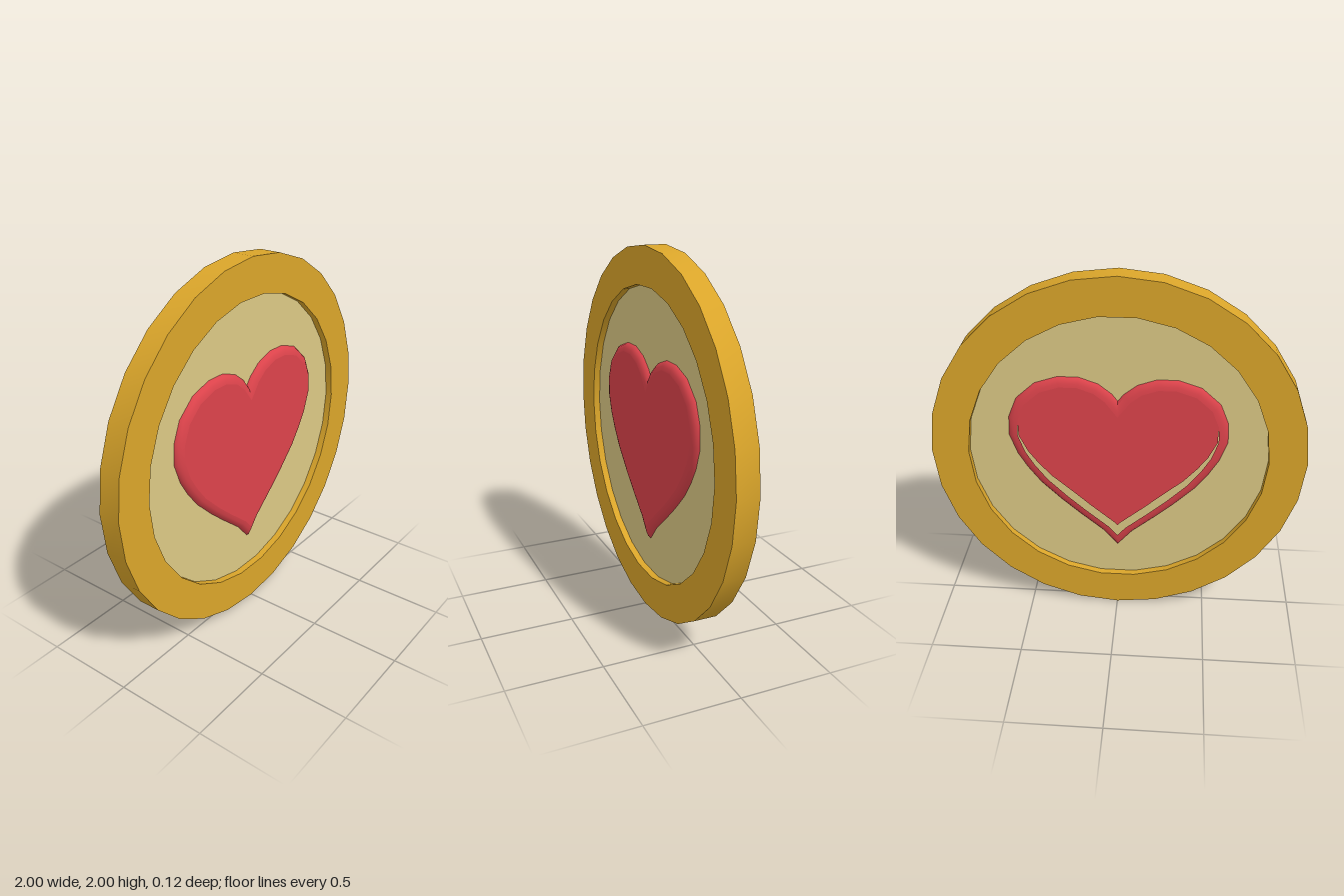
import * as THREE from 'three';
import { toCreasedNormals } from 'three/addons/utils/BufferGeometryUtils.js';

const V = (x, y) => new THREE.Vector2(x, y);

// Regular polygon with a corner on +x
const polygon = (r, n) =>
  Array.from({ length: n }, (_, i) => {
    const a = (i / n) * Math.PI * 2;
    return V(r * Math.cos(a), r * Math.sin(a));
  });

// Polygon plate centred on z = 0
function plate(shape, depth) {
  const g = new THREE.ExtrudeGeometry(shape, { depth, bevelEnabled: false });
  g.translate(0, 0, -depth / 2);
  return toCreasedNormals(g, 0.6);
}

// Heart outline, counter-clockwise from the tip, mirrored across x = 0
function heartOutline() {
  const half = [
    [0.08, 0.495], [0.21, 0.605], [0.31, 0.695], [0.42, 0.805], [0.49, 0.9], [0.54, 0.985],
    [0.58, 1.1], [0.575, 1.21], [0.53, 1.32], [0.43, 1.41], [0.31, 1.45],
    [0.2, 1.45], [0.1, 1.415], [0.03, 1.36],
  ];
  const left = half.map(([x, y]) => V(-x, y)).reverse();
  return [V(0, 0.4), ...half.map(([x, y]) => V(x, y)), V(0, 1.32), ...left];
}

// Move every side inward by dist(point), with mitred corners
function inset(points, dist) {
  const n = points.length;
  const normal = (a, b) => V(a.y - b.y, b.x - a.x).normalize();
  return points.map((p, i) => {
    const n1 = normal(points[(i + n - 1) % n], p);
    const n2 = normal(p, points[(i + 1) % n]);
    const k = dist(p) / (1 + n1.dot(n2));
    return p.clone().addScaledVector(n1.add(n2), k);
  });
}

// Skin between successive closed loops of equal length
function loft(loops) {
  const n = loops[0].pts.length;
  const pos = [], idx = [];
  loops.forEach(({ pts, z }) => pts.forEach((p) => pos.push(p.x, p.y, z)));
  for (let r = 0; r < loops.length - 1; r++) {
    for (let i = 0; i < n; i++) {
      const a = r * n + i, b = r * n + ((i + 1) % n);
      idx.push(a, b, b + n, a, b + n, a + n);
    }
  }
  const g = new THREE.BufferGeometry();
  g.setAttribute('position', new THREE.Float32BufferAttribute(pos, 3));
  g.setIndex(idx);
  return toCreasedNormals(g, 0.9);
}

export function createModel() {
  const group = new THREE.Group();
  const gold = new THREE.MeshStandardMaterial({ color: 0xdaa52a });
  const tan = new THREE.MeshStandardMaterial({ color: 0xdbc884 });
  const red = new THREE.MeshStandardMaterial({ color: 0xdc434b, side: THREE.DoubleSide });
  const add = (name, geometry, material, parent = group) => {
    const mesh = new THREE.Mesh(geometry, material);
    mesh.name = name;
    parent.add(mesh);
    return mesh;
  };

  // Coin rim and recessed inner disc
  const rim = new THREE.Shape(polygon(1, 28));
  rim.holes.push(new THREE.Path(polygon(0.8, 26)));
  add('rim', plate(rim, 0.12), gold).position.y = 1;
  add('disc', plate(new THREE.Shape(polygon(0.8, 26)), 0.045), tan).position.y = 1;

  // Heart: rounded border running from the back edge to the front edge
  const heart = new THREE.Group();
  heart.name = 'heart';
  group.add(heart);
  const outline = heartOutline();
  const profile = [
    [0.05, -0.048], [0.03, -0.045], [0.01, -0.037], [0, -0.025],
    [0, 0.025], [0.01, 0.04], [0.025, 0.05], [0.045, 0.055],
  ];
  const loops = profile.map(([d, z]) => ({ pts: inset(outline, () => d), z }));
  add('heartBorder', loft(loops), red, heart);

  // Front face
  const front = new THREE.ShapeGeometry(new THREE.Shape(loops[loops.length - 1].pts));
  add('heartFront', front.translate(0, 0, 0.055), red, heart);

  // Back face, leaving a slit that widens towards the tip
  const slit = (p) => 0.05 + 0.045 * THREE.MathUtils.clamp((1.15 - p.y) / 0.45, 0, 1);
  const back = new THREE.ShapeGeometry(new THREE.Shape(inset(outline, slit)));
  back.rotateY(Math.PI).translate(0, 0, -0.048);
  add('heartBack', back, red, heart);

  return group;
}
